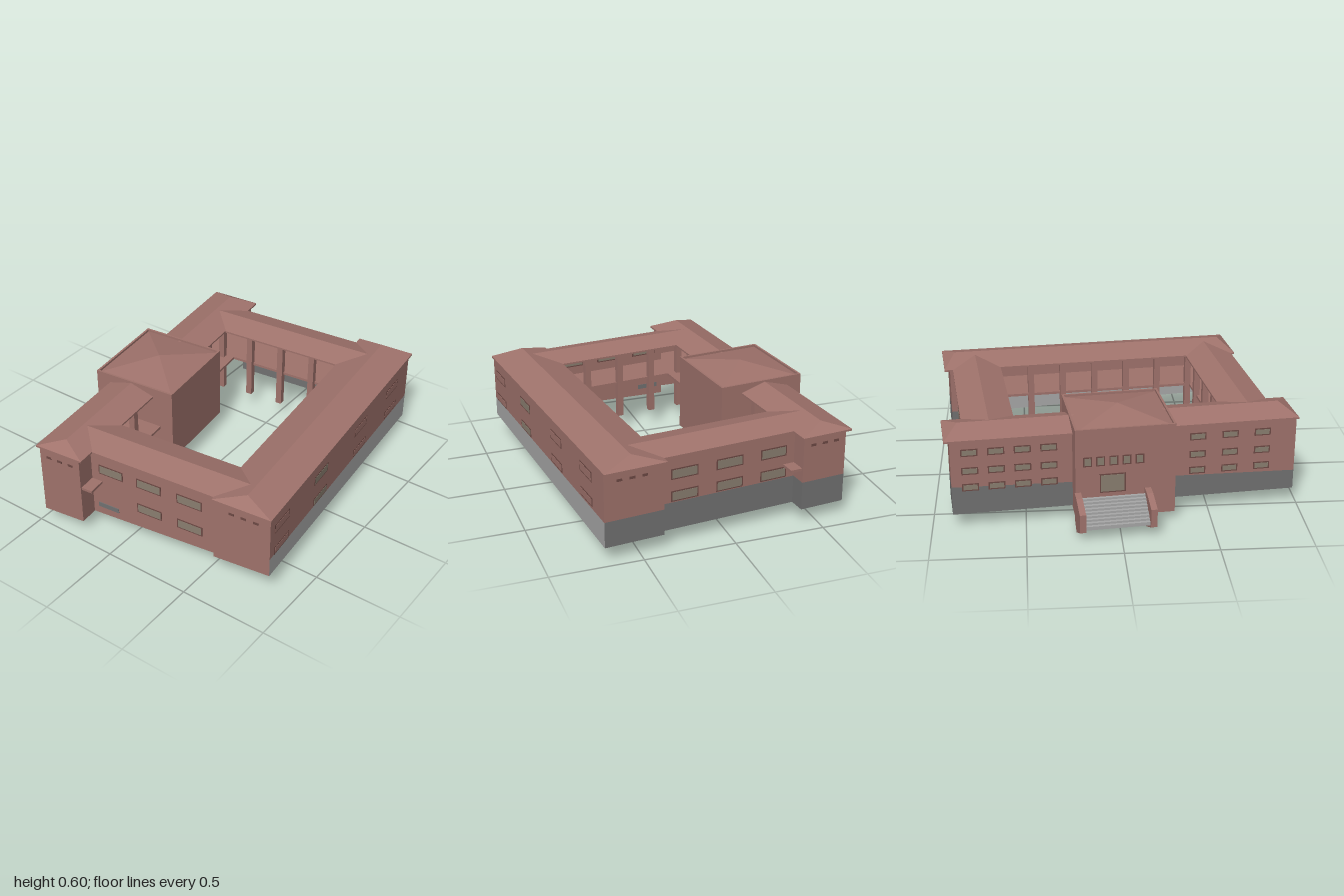
import * as THREE from 'three';

const mat = (name, color, side = THREE.FrontSide) => {
  const m = new THREE.MeshStandardMaterial({ color, side });
  m.name = name;
  return m;
};

export function createModel() {
  const brick = mat('brick', 0xa0736c, THREE.DoubleSide);
  const stone = mat('light stone', 0xa8a8a8, THREE.DoubleSide);
  const plinth = mat('dark plinth', 0x727272, THREE.DoubleSide);
  const glass = mat('window glass', 0x8a7f70);
  const reveal = mat('window reveal', 0x6e4a45);

  const root = new THREE.Group();
  root.name = 'courtyardBuilding';
  const b = new THREE.Group(); // the plan is turned slightly on its plot
  b.name = 'building';
  b.rotation.y = 0.101;
  root.add(b);

  const add = (name, geo, m, parent = b) => {
    const mesh = new THREE.Mesh(geo, m);
    mesh.name = name;
    parent.add(mesh);
    return mesh;
  };
  const box = (name, x0, x1, y0, y1, z0, z1, m) =>
    add(name, new THREE.BoxGeometry(x1 - x0, y1 - y0, z1 - z0), m)
      .position.set((x0 + x1) / 2, (y0 + y1) / 2, (z0 + z1) / 2);

  // Flat polygons, each a list of corners, joined into one geometry
  const faces = (polys) => {
    const pos = [];
    for (const p of polys)
      for (let i = 1; i < p.length - 1; i++) pos.push(...p[0], ...p[i], ...p[i + 1]);
    const g = new THREE.BufferGeometry();
    g.setAttribute('position', new THREE.Float32BufferAttribute(pos, 3));
    g.computeVertexNormals();
    return g;
  };

  // Sloping ground line under the walls
  const L = THREE.MathUtils.lerp;
  const ground = (x, z) => {
    const s = (x + 0.57) / 1.36, t = (z + 0.92) / 1.82;
    return L(L(0.08, 0.085, s), L(0.08, 0.135, s), t);
  };
  const EAVE = 0.505;

  // Wall sheet, running left to right as seen from outside, with optional plinth
  const wall = (name, [x0, z0], [x1, z1], base, t0 = 0.24, t1 = 0.24) => {
    const g0 = ground(x0, z0), g1 = ground(x1, z1);
    const b0 = base ? t0 : g0, b1 = base ? t1 : g1;
    add(name, faces([[[x0, b0, z0], [x1, b1, z1], [x1, EAVE, z1], [x0, EAVE, z0]]]), brick);
    if (base)
      add(name + 'Plinth', faces([[[x0, g0, z0], [x1, g1, z1], [x1, b1, z1], [x0, b0, z0]]]), base);
  };

  wall('frontWingWall', [-0.315, 0.82], [0.46, 0.82]);
  wall('frontLeftEnd', [0.46, 0.845], [0.79, 0.845]);
  wall('frontRightEnd', [-0.57, 0.928], [-0.315, 0.928]);
  wall('frontRightReturn', [-0.315, 0.928], [-0.315, 0.82]);
  wall('frontLeftReturn', [0.46, 0.82], [0.46, 0.845]);
  wall('leftLongWall', [0.79, 0.845], [0.79, -0.89], stone, 0.245, 0.23);
  wall('backLeftEnd', [0.79, -0.89], [0.46, -0.89], plinth, 0.23, 0.23);
  wall('backLeftReturn', [0.46, -0.89], [0.46, -0.855], plinth);
  wall('backWingWall', [0.46, -0.855], [-0.315, -0.855], plinth);
  wall('backRightReturn', [-0.315, -0.855], [-0.315, -0.95], plinth);
  wall('backRightEnd', [-0.315, -0.95], [-0.57, -0.95], plinth);
  wall('rightLongWallBack', [-0.57, -0.95], [-0.57, -0.3], plinth, 0.24, 0.22);
  wall('rightLongWallFront', [-0.57, 0.23], [-0.57, 0.928], plinth, 0.21, 0.19);

  // Pitched roof; inset pulls the ridge ends in to make hips
  const roof = (name, x0, x1, z0, z1, y0, y1, alongX, inset) => {
    const xm = (x0 + x1) / 2, zm = (z0 + z1) / 2;
    const A = [x0, y0, z0], B = [x1, y0, z0], C = [x1, y0, z1], D = [x0, y0, z1];
    const P = alongX ? [x0 + inset, y1, zm] : [xm, y1, z0 + inset];
    const Q = alongX ? [x1 - inset, y1, zm] : [xm, y1, z1 - inset];
    add(name, faces(alongX
      ? [[D, C, Q, P], [B, A, P, Q], [A, D, P], [C, B, Q]]
      : [[A, D, Q, P], [C, B, P, Q], [B, A, P], [D, C, Q]]), brick);
    box(name + 'Eaves', x0, x1, y0 - 0.01, y0, z0, z1, brick);
  };
  roof('leftWingRoof', 0.455, 0.798, -0.922, 0.857, 0.512, 0.56, false, 0.07);
  roof('rightWingRoof', -0.587, -0.294, -0.98, 0.937, 0.512, 0.556, false, 0.08);
  roof('backWingRoof', -0.44, 0.627, -0.873, -0.588, 0.511, 0.55, true, 0);
  roof('frontWingRoof', -0.44, 0.627, 0.551, 0.835, 0.511, 0.55, true, 0);

  // Gallery floors around the courtyard
  const floor = (name, x0, x1, z0, z1) => box(name, x0, x1, 0.305, 0.32, z0, z1, brick);
  floor('leftGalleryFloor', 0.48, 0.788, -0.885, 0.84);
  floor('rightGalleryFloorBack', -0.568, -0.25, -0.94, -0.3);
  floor('rightGalleryFloorFront', -0.568, -0.25, 0.23, 0.92);
  floor('backGalleryFloor', -0.25, 0.48, -0.853, -0.62);
  floor('frontGalleryFloor', -0.25, 0.48, 0.58, 0.818);

  // Courtyard columns
  const column = (x, z) => box('column', x - 0.018, x + 0.018, 0.1, 0.503, z - 0.018, z + 0.018, brick);
  for (let i = 0; i < 7; i++) column(0.49, -0.6 + i * 0.195);
  for (const x of [-0.13, 0.08, 0.29]) { column(x, -0.615); column(x, 0.58); }
  for (const z of [-0.6, -0.42, 0.4, 0.58]) column(-0.32, z);

  // Entrance block with parapet and low pyramid roof
  const X0 = -0.675, X1 = -0.168, Z0 = -0.305, Z1 = 0.235, H = 0.565;
  const lo = (x) => (x === X0 ? 0.05 : 0.12);
  const corners = [[X0, Z1], [X1, Z1], [X1, Z0], [X0, Z0]];
  add('entranceBlockWalls', faces(corners.map(([x, z], i) => {
    const [p, q] = corners[(i + 1) % 4];
    return [[x, lo(x), z], [p, lo(p), q], [p, H, q], [x, H, z]];
  })), brick);
  const apex = [(X0 + X1) / 2, 0.6, (Z0 + Z1) / 2];
  add('entranceBlockRoof', faces(corners.map(([x, z], i) => {
    const [p, q] = corners[(i + 1) % 4];
    return [[x, 0.55, z], [p, 0.55, q], apex];
  })), brick);
  for (const [x, s] of [[X0, 1], [X1, -1]])
    box('parapet', Math.min(x, x + s * 0.012), Math.max(x, x + s * 0.012), 0.545, H, Z0, Z1, brick);
  for (const [z, s] of [[Z0, 1], [Z1, -1]])
    box('parapet', X0, X1, 0.545, H, Math.min(z, z + s * 0.012), Math.max(z, z + s * 0.012), brick);

  // Entrance steps between two sloping cheeks
  const N = 9, run = 0.155 / N;
  for (let i = 0; i < N; i++) {
    const x = -0.84 + i * run, y = 0.085 + i * 0.0115;
    box('step', x, x + run, y - 0.02, y, -0.28, 0.07, stone);
  }
  const cheek = new THREE.Shape([[-0.855, 0.06], [-0.73, 0.0], [-0.675, 0.05], [-0.675, 0.205],
    [-0.735, 0.2], [-0.855, 0.163]].map(([x, y]) => new THREE.Vector2(x, y)));
  for (const z of [-0.31, 0.068]) {
    const m = add('stairCheek', new THREE.ExtrudeGeometry(cheek, { depth: 0.034, bevelEnabled: false }), brick);
    m.position.z = z;
  }

  // Window: dark reveal plate with a pane on it, facing outward at the given turn
  const opening = (name, x, y, z, w, h, turn, pane = glass, edge = 0.007) => {
    const g = new THREE.Group();
    g.name = name;
    g.position.set(x, y, z);
    g.rotation.y = turn;
    add('reveal', new THREE.BoxGeometry(w, h, 0.004), reveal, g);
    if (pane) add('pane', new THREE.BoxGeometry(w - edge * 2, h - edge * 2, 0.007), pane, g);
    b.add(g);
  };
  const FRONT = 0, BACK = Math.PI, LEFT = Math.PI / 2, RIGHT = -Math.PI / 2;

  // Front and back wing windows
  for (const x of [-0.19, 0.05, 0.3]) {
    opening('frontWindow', x, 0.4, 0.82, 0.155, 0.06, FRONT);
    if (x > 0) opening('frontWindow', x, 0.232, 0.82, 0.155, 0.06, FRONT);
  }
  box('cellarHatch', -0.28, -0.15, 0.14, 0.168, 0.818, 0.824, plinth);
  for (const x of [-0.19, 0.07, 0.33])
    for (const y of [0.4, 0.275]) opening('backWindow', x, y, -0.855, 0.155, 0.06, BACK);

  // Long left wall windows, mostly blind
  [0.72, 0.275, -0.225, -0.655].forEach((z, i) => {
    const pane = i === 1 ? glass : brick;
    opening('leftWindow', 0.79, 0.413, z, 0.16, 0.056, LEFT, pane);
    opening('leftWindow', 0.79, 0.27, z, 0.16, 0.05, LEFT, pane);
  });

  // Long right wall windows in three rows
  for (const y of [0.435, 0.33, 0.235])
    for (const z of [-0.85, -0.71, -0.57, -0.43, 0.38, 0.56, 0.74])
      opening('rightWindow', -0.57, y, z, 0.09, 0.042, RIGHT);

  // Small vents at the wing ends
  for (const d of [-0.07, 0, 0.07]) {
    opening('vent', -0.443 + d, 0.45, 0.928, 0.03, 0.014, FRONT, null);
    opening('vent', -0.443 + d, 0.45, -0.95, 0.03, 0.014, BACK, null);
    opening('vent', 0.635 + d, 0.45, 0.845, 0.03, 0.014, FRONT, null);
    opening('vent', 0.635 + d, 0.45, -0.89, 0.03, 0.014, BACK, null);
  }

  // Entrance front: row of windows above the door
  for (let i = 0; i < 5; i++)
    opening('entranceWindow', X0, 0.38, -0.24 + i * 0.07, 0.048, 0.055, RIGHT);
  opening('entranceDoor', X0, 0.25, -0.105, 0.14, 0.11, RIGHT);

  return root;
}
